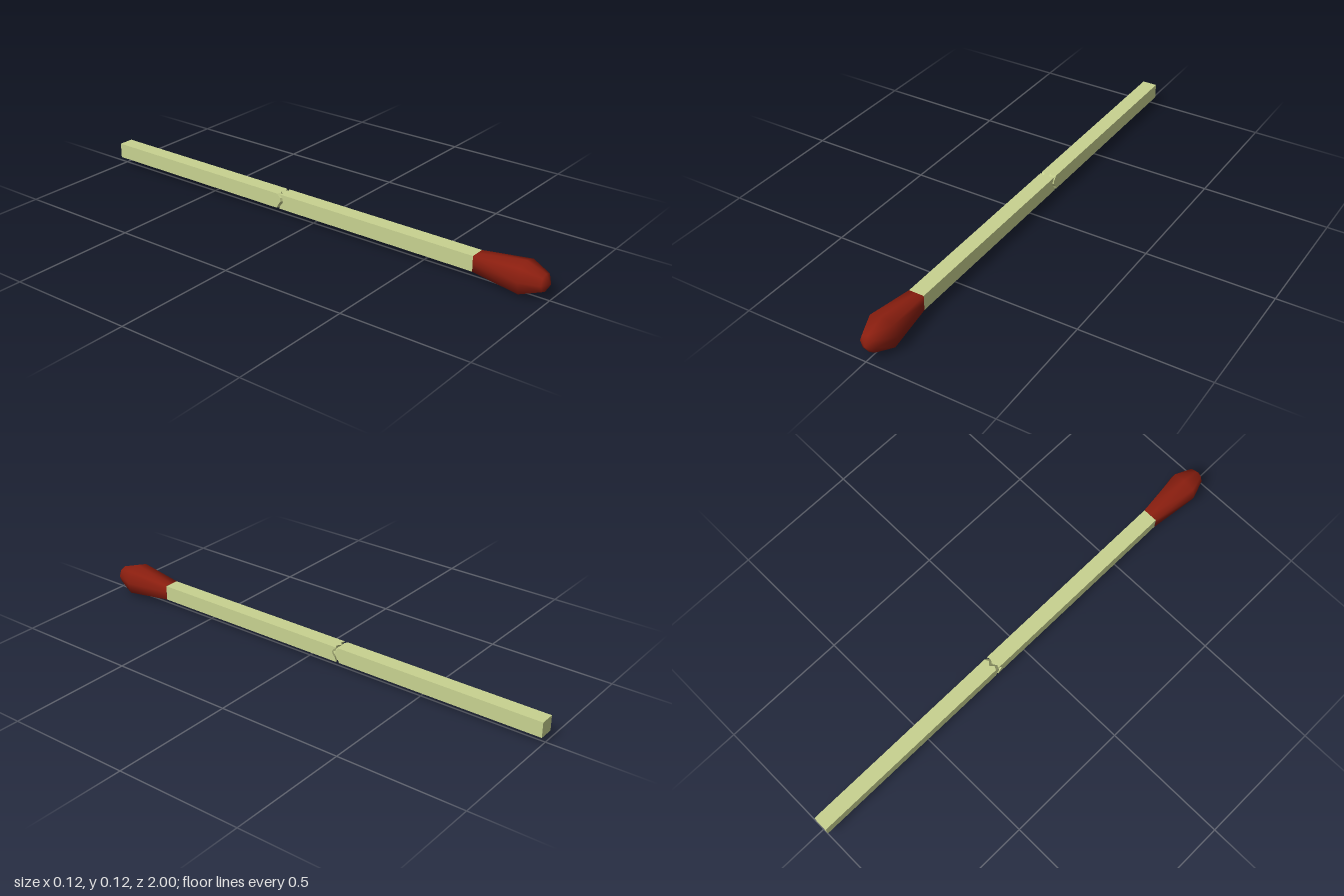
import * as THREE from 'three';

const HALF = 0.03;     // half thickness of the square stick
const AXIS_Y = 0.061;  // height of the stick's axis
const BREAK_Z = -0.139;

const wood = new THREE.MeshStandardMaterial({ color: 0xc8d290, flatShading: true, side: THREE.DoubleSide });
const red = new THREE.MeshStandardMaterial({ color: 0x8a1e0f });

// Splintered break: a zigzag down the height, varied a little across the width
function breakOffset(x, y) {
  const row = Math.round((y / HALF + 1) * 2);
  const col = Math.round((x / HALF + 1) * 2);
  const zigzag = [-0.011, -0.004, 0.008, 0.006, -0.008][row];
  const splinter = [0, 0.007, -0.006, 0.006, -0.002][col];
  return zigzag + splinter;
}

// Square stick between two z values; the end lying at the break is jagged
function stickHalf(name, zBack, zFront, brokenSide) {
  const length = zFront - zBack;
  const geo = new THREE.BoxGeometry(HALF * 2, HALF * 2, length, 4, 4, 1);
  const p = geo.attributes.position;
  for (let i = 0; i < p.count; i++) {
    if (Math.sign(p.getZ(i)) === brokenSide) {
      p.setZ(i, p.getZ(i) + breakOffset(p.getX(i), p.getY(i)));
    }
  }
  geo.computeVertexNormals();
  const mesh = new THREE.Mesh(geo, wood);
  mesh.name = name;
  mesh.position.set(0, AXIS_Y, (zBack + zFront) / 2);
  return mesh;
}

// Faceted bulb: eight-sided rings growing from the square stick, then closing at the tip
function matchHead() {
  // z, distance to the side midpoints, distance to the corners along each axis
  const rings = [
    [0.715, 0.0302, 0.0302],
    [0.905, 0.061, 0.048],
    [0.98, 0.034, 0.025],
  ];
  const positions = [];
  const index = [];
  const n = 8;
  for (const [z, mid, corner] of rings) {
    for (let i = 0; i < n; i++) {
      const a = (i / n) * Math.PI * 2;
      const r = i % 2 ? corner * Math.SQRT2 : mid;
      positions.push(Math.cos(a) * r, Math.sin(a) * r, z);
    }
  }
  const tip = positions.length / 3;
  positions.push(0, 0, 1);
  for (let r = 0; r < rings.length; r++) {
    for (let i = 0; i < n; i++) {
      const a = r * n + i;
      const b = r * n + (i + 1) % n;
      if (r === rings.length - 1) index.push(a, b, tip);
      else index.push(a, b, b + n, a, b + n, a + n);
    }
  }
  const geo = new THREE.BufferGeometry();
  geo.setAttribute('position', new THREE.Float32BufferAttribute(positions, 3));
  geo.setIndex(index);
  geo.computeVertexNormals();
  const mesh = new THREE.Mesh(geo, red);
  mesh.name = 'matchHead';
  mesh.position.y = AXIS_Y;
  return mesh;
}

export function createModel() {
  const group = new THREE.Group();
  group.name = 'brokenMatch';
  const gap = 0.006;
  group.add(
    stickHalf('frontStick', BREAK_Z + gap, 0.715, -1),
    stickHalf('backStick', -1, BREAK_Z - gap, 1),
    matchHead(),
  );
  return group;
}
